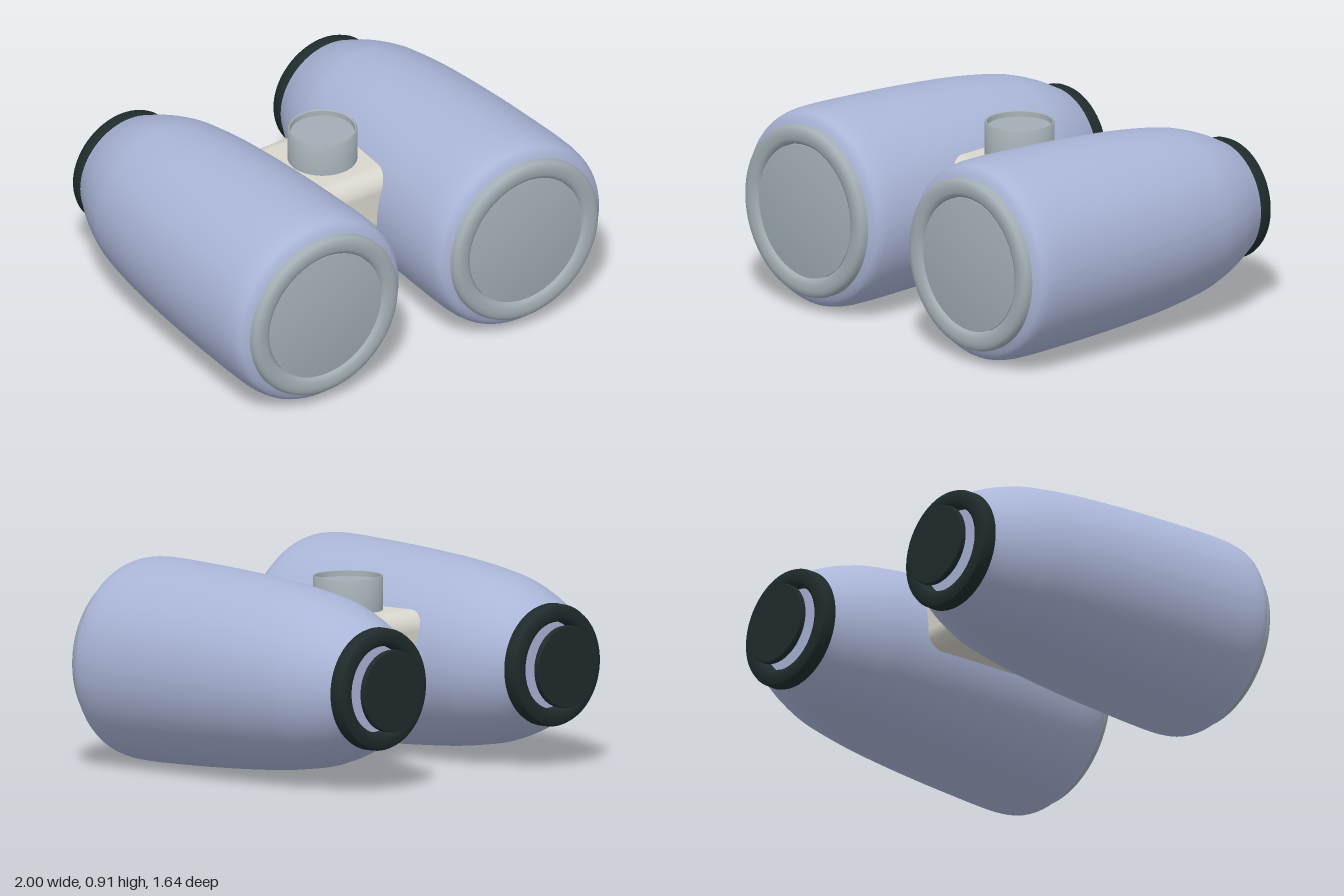
import * as THREE from 'three';
import { toCreasedNormals } from 'three/addons/utils/BufferGeometryUtils.js';
import { RoundedBoxGeometry } from 'three/addons/geometries/RoundedBoxGeometry.js';

const material = (name, color) => {
  const m = new THREE.MeshStandardMaterial({ color });
  m.name = name;
  return m;
};

// Turn a [radius, height] profile, listed from bottom to top along the outside
const turned = (profile, crease = 0.7) => toCreasedNormals(
  new THREE.LatheGeometry(profile.map(([r, y]) => new THREE.Vector2(r, y)), 72), crease);

// The same, with the axis laid along z
const turnedZ = (profile, crease) => turned(profile, crease).rotateX(Math.PI / 2);

// Smooth a coarse profile with a spline
const smooth = (profile, n) => new THREE.SplineCurve(
  profile.map(([r, z]) => new THREE.Vector2(r, z))).getPoints(n).map((p) => [p.x, p.y]);

export function createModel() {
  const model = new THREE.Group();
  model.name = 'binoculars';
  const blue = material('softBlue', 0xaab5d7);
  const grey = material('paleGrey', 0xa2aeb4);
  const cream = material('cream', 0xd8d6cd);
  const dark = material('darkRubber', 0x1f2b2c);

  const add = (parent, name, geometry, mat) => {
    const mesh = new THREE.Mesh(geometry, mat);
    mesh.name = name;
    parent.add(mesh);
    return mesh;
  };

  // Barrel: narrow at the eye end, rounded over at the front
  const body = smooth([
    [0.272, -0.695], [0.32, -0.6], [0.358, -0.5], [0.384, -0.4], [0.413, -0.2],
    [0.43, 0], [0.442, 0.2], [0.45, 0.4], [0.455, 0.6], [0.45, 0.7], [0.432, 0.75], [0.39, 0.775],
  ], 60);
  const barrelGeo = turnedZ([[0, -0.7], [0.27, -0.7], ...body, [0, 0.775]]);

  // Front rim with a softly rounded lip
  const rimGeo = turnedZ([
    [0.393, 0.76], [0.393, 0.79], [0.388, 0.805], [0.375, 0.814], [0.355, 0.816],
    [0.33, 0.814], [0.315, 0.808], [0.306, 0.796], [0.304, 0.77],
  ]);

  // Gently domed lens
  const dome = [];
  for (let i = 0; i <= 8; i++) {
    const r = 0.304 * (1 - i / 8);
    dome.push([r, 0.819 - 0.021 * (r / 0.304) ** 2]);
  }
  const lensGeo = turnedZ([[0.304, 0.775], ...dome]);

  // Eyecup ring, open in the middle
  const cupGeo = turnedZ([
    [0.195, -0.695], [0.195, -0.75], [0.203, -0.762], [0.22, -0.767], [0.25, -0.767],
    [0.266, -0.76], [0.273, -0.745], [0.274, -0.705], [0.27, -0.695], [0.195, -0.695],
  ]);

  // Separate eyepiece disc behind the ring
  const eyeGeo = turnedZ([[0, -0.823], [0.179, -0.823], [0.183, -0.819], [0.183, -0.798],
    [0.179, -0.794], [0, -0.794]]);

  for (const [side, x] of [['left', 0.545], ['right', -0.545]]) {
    const tube = new THREE.Group();
    tube.name = side + 'Tube';
    tube.position.set(x, 0.456, 0);
    add(tube, 'barrel', barrelGeo, blue);
    add(tube, 'frontRim', rimGeo, grey);
    add(tube, 'frontLens', lensGeo, grey);
    add(tube, 'eyecup', cupGeo, dark);
    add(tube, 'eyepiece', eyeGeo, dark);
    model.add(tube);
  }

  // Bridge running into both barrels
  add(model, 'bridge', new RoundedBoxGeometry(0.66, 0.32, 0.555, 6, 0.085), cream)
    .position.set(0, 0.525, 0.008);

  // Focus knob with a shallow dished top
  add(model, 'focusKnob', turned([
    [0, 0.66], [0.155, 0.66], [0.155, 0.836], [0.151, 0.841], [0.145, 0.838], [0.143, 0.815], [0, 0.815],
  ]), grey).position.z = 0.008;

  return model;
}
